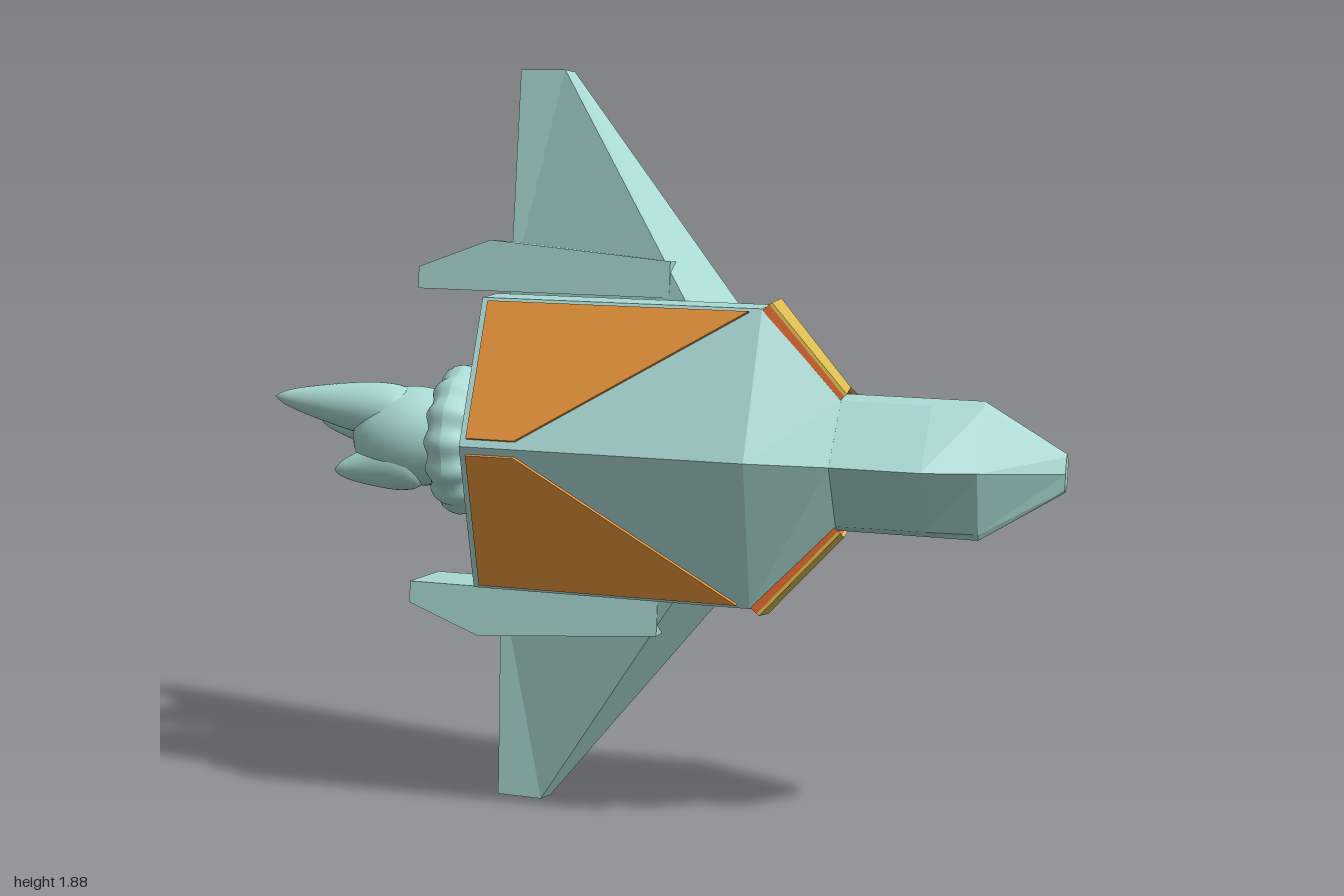
import * as THREE from 'three';

const mat = (name, color) => new THREE.MeshStandardMaterial({ name, color });

// Flat-shaded closed solid through matching rings of points, wound outward
function loft(rings) {
  const tris = [], n = rings[0].length;
  const centre = (r) => [0, 1, 2].map((k) => r.reduce((s, p) => s + p[k], 0) / n);
  for (let i = 0; i < n; i++) {
    const j = (i + 1) % n;
    for (let k = 0; k + 1 < rings.length; k++) {
      const a = rings[k], b = rings[k + 1];
      tris.push([a[i], a[j], b[j]], [a[i], b[j], b[i]]);
    }
    const first = rings[0], last = rings[rings.length - 1];
    tris.push([centre(first), first[j], first[i]], [centre(last), last[i], last[j]]);
  }
  let volume = 0;
  const v = (p) => new THREE.Vector3(...p);
  for (const [a, b, c] of tris) volume += v(a).dot(v(b).cross(v(c)));
  if (volume < 0) tris.forEach((t) => t.reverse());
  const g = new THREE.BufferGeometry();
  g.setAttribute('position', new THREE.Float32BufferAttribute(tris.flat(2), 3));
  g.computeVertexNormals();
  return g;
}

// Plate lying on a polygon, between two offsets along a direction
const plate = (pts, dir, from, to) =>
  loft([from, to].map((t) => pts.map((p) => p.map((c, k) => c + dir[k] * t))));

export function createModel() {
  const model = new THREE.Group();
  model.name = 'spaceship';
  // Ship axes: x forward, y along the span, z towards the dorsal side
  const ship = new THREE.Group();
  ship.name = 'ship';
  ship.position.set(0, 0.955, 0);
  ship.rotation.set(-0.08, -0.138, -0.028);
  model.add(ship);

  const teal = mat('paleTeal', 0xa9d9d4);
  const orange = mat('orange', 0xe6943a);
  const yellow = mat('yellow', 0xdcbc50);
  const red = mat('redOrange', 0xe2692f);
  const add = (name, geometry, material) => {
    const m = new THREE.Mesh(geometry, material);
    m.name = name;
    ship.add(m);
    return m;
  };

  // Half sections [y, z] from the dorsal ridge to the belly, mirrored into rings
  const ring = (x, half) => [
    ...half.map(([y, z]) => [x, y, z]),
    ...half.slice(1).reverse().map(([y, z]) => [x, -y, z]),
  ];
  const hullHalf = [[0, 0.25], [0.36, 0.115], [0.37, 0.01], [0.235, -0.18]];
  const neckHalf = [[0, 0.213], [0.15, 0.09], [0.165, 0.04], [0.12, -0.175]];
  add('hull', loft([ring(-0.425, hullHalf), ring(0.28, hullHalf), ring(0.475, neckHalf)]), teal);
  add('neckAndNose', loft([
    ring(0.46, neckHalf),
    ring(0.69, [[0, 0.213], [0.15, 0.08], [0.165, 0.045], [0.12, -0.175]]),
    ring(0.81, [[0, 0.14], [0.15, 0.062], [0.165, 0.05], [0.12, -0.175]]),
    ring(1.0, [[0, -0.002], [0.04, -0.015], [0.046, -0.03], [0.028, -0.076]]),
  ]), teal);

  for (const s of [1, -1]) {
    const side = s > 0 ? 'upper' : 'lower';
    const flip = (pts) => pts.map(([x, y, z]) => [x, y * s, z]);

    // Wing: thick ridged root thinning to a narrow tip
    const rib = (y, rearTop, ridgeX, ridgeZ, leadX) => flip([
      [-0.43, y, -0.174], [-0.43, y, rearTop], [ridgeX, y, ridgeZ], [leadX, y, -0.174],
    ]);
    add(side + 'Wing', loft([
      rib(0.21, -0.09, 0.17, 0.055, 0.28),
      rib(0.375, -0.1, 0.062, 0.015, 0.148),
      rib(0.94, -0.13, -0.31, -0.125, -0.3),
    ]), teal);

    // Pod running through the wing and past its trailing edge
    const pod = (z) => flip([
      [-0.64, 0.375, z], [-0.64, 0.43, z], [-0.45, 0.503, z], [0.02, 0.465, z], [0.02, 0.375, z],
    ]);
    add(side + 'WingPod', loft([pod(-0.195), pod(0.005)]), teal);

    // Roof panel on the sloping dorsal face
    const roof = (x, y) => [x, y, 0.25 - 0.375 * y];
    add(side + 'RoofPanel', plate(
      flip([roof(-0.408, 0.018), roof(-0.285, 0.018), roof(0.25, 0.35), roof(-0.408, 0.35)]),
      [0, 0.351 * s, 0.936], 0, 0.009), orange);

    // Shoulder panels with a bright rim, in two strips following the hull
    const outer = hullHalf.slice(1).map(([y, z]) => [0.285, y, z]);
    const inner = neckHalf.slice(1).map(([y, z]) => [0.47, y, z]);
    const dir = [0.73, 0.66 * s, -0.18];
    for (const k of [0, 1]) {
      const strip = flip([outer[k], outer[k + 1], inner[k + 1], inner[k]]);
      add(side + 'ShoulderRim', plate(strip, dir, -0.005, 0.016), red);
      add(side + 'ShoulderPanel', plate(strip, dir, 0.016, 0.024), yellow);
    }
  }

  // Lumpy nozzle ring
  const R = 0.138, nozzle = new THREE.TorusGeometry(R, 0.05, 16, 96);
  const p = nozzle.attributes.position;
  for (let i = 0; i < p.count; i++) {
    const a = Math.atan2(p.getY(i), p.getX(i)), k = 1 + 0.09 * Math.cos(14 * a);
    const r = R + (Math.hypot(p.getX(i), p.getY(i)) - R) * k;
    p.setXYZ(i, r * Math.cos(a), r * Math.sin(a), p.getZ(i) * k * 1.1);
  }
  nozzle.computeVertexNormals();
  nozzle.rotateY(Math.PI / 2);
  add('nozzleRing', nozzle, teal).position.set(-0.49, 0, 0.02);

  // Exhaust plume: a bulb that splits into three tapering tongues
  const smoothLathe = (pts) => new THREE.LatheGeometry(
    new THREE.SplineCurve(pts.map(([r, h]) => new THREE.Vector2(r, h))).getPoints(24), 32);
  const bulb = smoothLathe([[0.08, 0], [0.108, 0.1], [0.127, 0.2], [0.112, 0.29], [0.07, 0.35], [0, 0.37]]);
  bulb.rotateZ(Math.PI / 2);
  add('plumeBulb', bulb, teal).position.set(-0.42, 0, 0.02);
  const tongues = [
    [[-0.6, 0.055, 0.045], [-1.0, 0.085, 0.066]],
    [[-0.6, 0.01, -0.035], [-0.925, 0.024, -0.05]],
    [[-0.58, -0.055, 0.05], [-0.825, -0.095, 0.08]],
  ];
  for (const [from, to] of tongues) {
    const a = new THREE.Vector3(...from), d = new THREE.Vector3(...to).sub(a), L = d.length();
    const tongue = add('plumeTongue', smoothLathe(
      [[0, 0], [0.06, 0.1 * L], [0.07, 0.3 * L], [0.05, 0.62 * L], [0.022, 0.9 * L], [0, L]]), teal);
    tongue.position.copy(a);
    tongue.quaternion.setFromUnitVectors(new THREE.Vector3(0, 1, 0), d.normalize());
  }
  return model;
}
